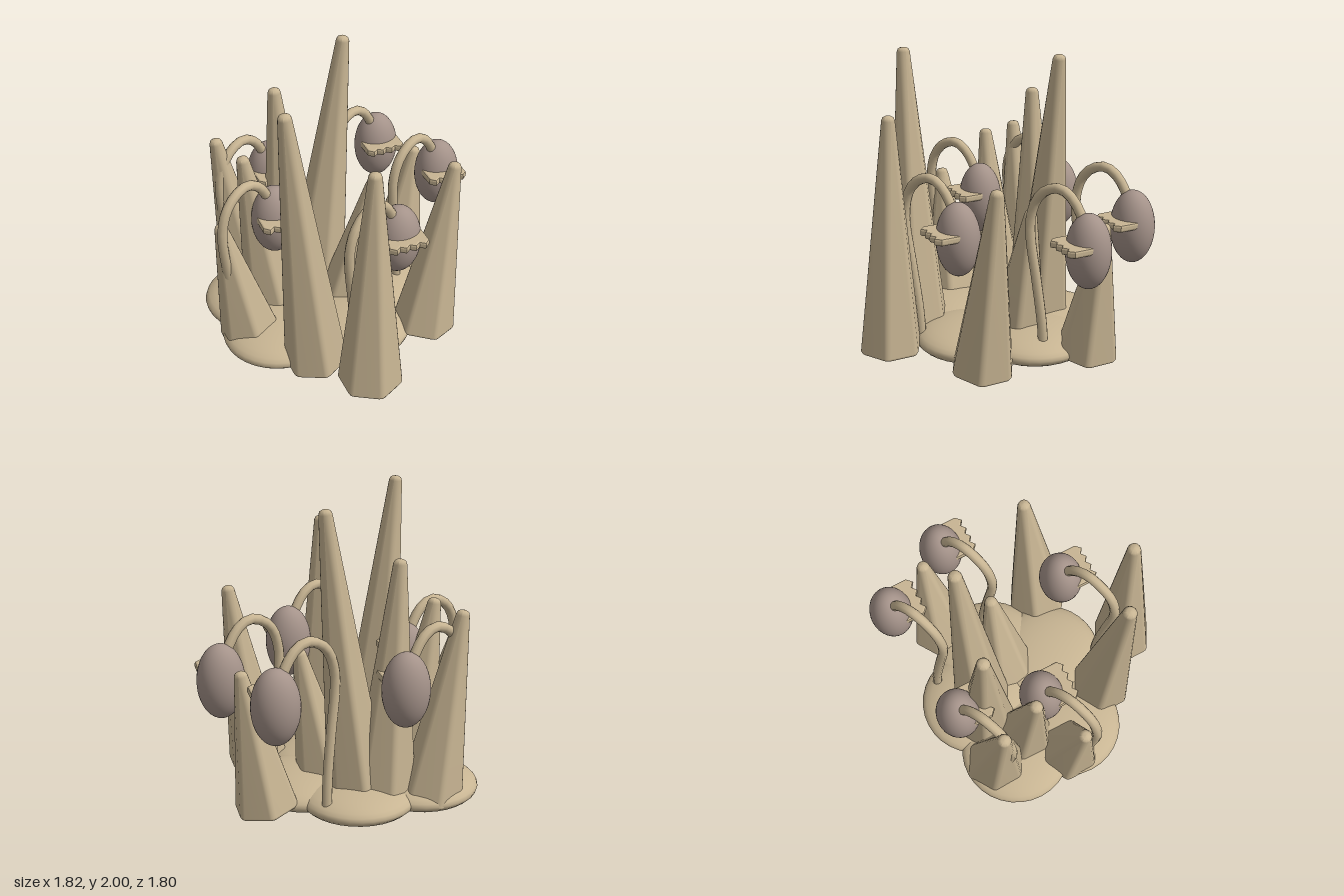
import * as THREE from 'three';

const tan = new THREE.MeshStandardMaterial({ color: 0xc8b593 });
tan.name = 'sandy tan';
const mauve = new THREE.MeshStandardMaterial({ color: 0xa5938a });
mauve.name = 'dusty mauve';

// Tapering hexagonal spike: rings of rounded hexagons, [height, apothem]
function spikeGeometry(length) {
  const rings = [
    [0, 0], [0, 0.165], [0.008, 0.18], [0.025, 0.188],
    [length - 0.03, 0.043], [length - 0.012, 0.036], [length - 0.003, 0.022], [length, 0],
  ];
  const steps = 4, count = 6 * steps, position = [], index = [];
  for (const [y, apothem] of rings) {
    const round = Math.min(0.045, apothem);
    const hex = (apothem - round) / Math.cos(Math.PI / 6);
    for (let k = 0; k < 6; k++) {
      const corner = Math.PI / 2 + k * Math.PI / 3;
      for (let s = 0; s < steps; s++) {
        const a = corner + (s / (steps - 1) - 0.5) * Math.PI / 3;
        position.push(hex * Math.cos(corner) + round * Math.cos(a), y,
          hex * Math.sin(corner) + round * Math.sin(a));
      }
    }
  }
  for (let i = 0; i < rings.length - 1; i++) {
    for (let j = 0; j < count; j++) {
      const a = i * count + j, b = i * count + (j + 1) % count;
      index.push(a, a + count, b, b, a + count, b + count);
    }
  }
  const geometry = new THREE.BufferGeometry();
  geometry.setAttribute('position', new THREE.Float32BufferAttribute(position, 3));
  geometry.setIndex(index);
  geometry.computeVertexNormals();
  return geometry;
}

// Drooping stalk, bowing outward and arching over to the bulb
function stalkGeometry() {
  const path = new THREE.CatmullRomCurve3([
    [0.07, 0.1, -0.07], [0.065, 0.3, -0.06], [0.035, 0.62, -0.03], [0.003, 0.9, -0.003],
    [0.005, 1.03, -0.003], [0.045, 1.16, -0.02], [0.12, 1.24, -0.055], [0.21, 1.265, -0.095],
    [0.29, 1.22, -0.13], [0.35, 1.13, -0.157], [0.39, 1.03, -0.174],
  ].map(p => new THREE.Vector3(...p)));
  return new THREE.TubeGeometry(path, 28, 0.033, 10);
}

// Toothed ledge on the front of a bulb
function ledgeGeometry() {
  const shape = new THREE.Shape();
  shape.moveTo(-0.125, 0);
  shape.lineTo(-0.125, 0.175);
  for (let i = 0; i < 4; i++) {
    const x = -0.099 + i * 0.066;
    shape.lineTo(x, 0.2);
    shape.lineTo(x + (i < 3 ? 0.033 : 0.026), 0.175);
  }
  shape.lineTo(0.125, 0);
  const geometry = new THREE.ExtrudeGeometry(shape, {
    depth: 0.02, bevelThickness: 0.015, bevelSize: 0.012, bevelSegments: 2,
  });
  geometry.translate(0, 0, -0.01);
  geometry.rotateX(Math.PI / 2);
  return geometry;
}

export function createModel() {
  const model = new THREE.Group();
  const add = (parent, name, geometry, material, x = 0, y = 0, z = 0) => {
    const mesh = new THREE.Mesh(geometry, material);
    mesh.name = name;
    mesh.position.set(x, y, z);
    parent.add(mesh);
    return mesh;
  };

  // Five flattened base pads
  const pad = new THREE.SphereGeometry(1, 32, 16);
  pad.scale(0.38, 0.11, 0.38);
  for (const [x, z] of [[-0.08, -0.465], [-0.527, -0.38], [0.205, -0.2], [-0.02, 0.145], [-0.527, 0.02]]) {
    add(model, 'basePad', pad, tan, x, 0.11, z);
  }

  // Leaning spikes: base x, base z, tip x, tip y, tip z
  const spikes = [
    [-0.39, 0.37, -0.556, 2, 0.365],
    [-0.14, 0.69, -0.115, 1.68, 0.675],
    [0.42, 0.3, 0.608, 1.345, 0.295],
    [-0.1, -0.42, 0.125, 2, -0.415],
    [0.51, -0.43, 0.665, 1.025, -0.437],
    [0.05, -0.16, 0.232, 1.025, -0.156],
    [-0.7, -0.055, -0.868, 1.025, -0.052],
    [-0.25, -0.47, -0.332, 1.68, -0.48],
    [-0.54, -0.55, -0.725, 1.345, -0.552],
    [-0.45, -0.29, -0.63, 1.345, -0.28],
  ];
  const up = new THREE.Vector3(0, 1, 0);
  for (const [bx, bz, tx, ty, tz] of spikes) {
    const axis = new THREE.Vector3(tx - bx, ty - 0.08, tz - bz);
    const spike = add(model, 'spike', spikeGeometry(axis.length()), tan, bx, 0.08, bz);
    spike.quaternion.setFromUnitVectors(up, axis.normalize());
  }

  // Drooping bulbs on stalks
  const stalk = stalkGeometry();
  const ledge = ledgeGeometry();
  const bulb = new THREE.SphereGeometry(1, 32, 24);
  bulb.scale(0.153, 0.245, 0.142);
  for (const [x, z] of [[-0.88, 0.025], [-0.73, -0.505], [0.1, -0.575], [0.345, -0.083], [-0.22, 0.53]]) {
    const plant = new THREE.Group();
    plant.name = 'bulbPlant';
    plant.position.set(x, 0, z);
    add(plant, 'stalk', stalk, tan);
    add(plant, 'bulb', bulb, mauve, 0.41, 0.907, -0.18);
    add(plant, 'toothedLedge', ledge, tan, 0.41, 0.958, -0.18);
    model.add(plant);
  }
  return model;
}
